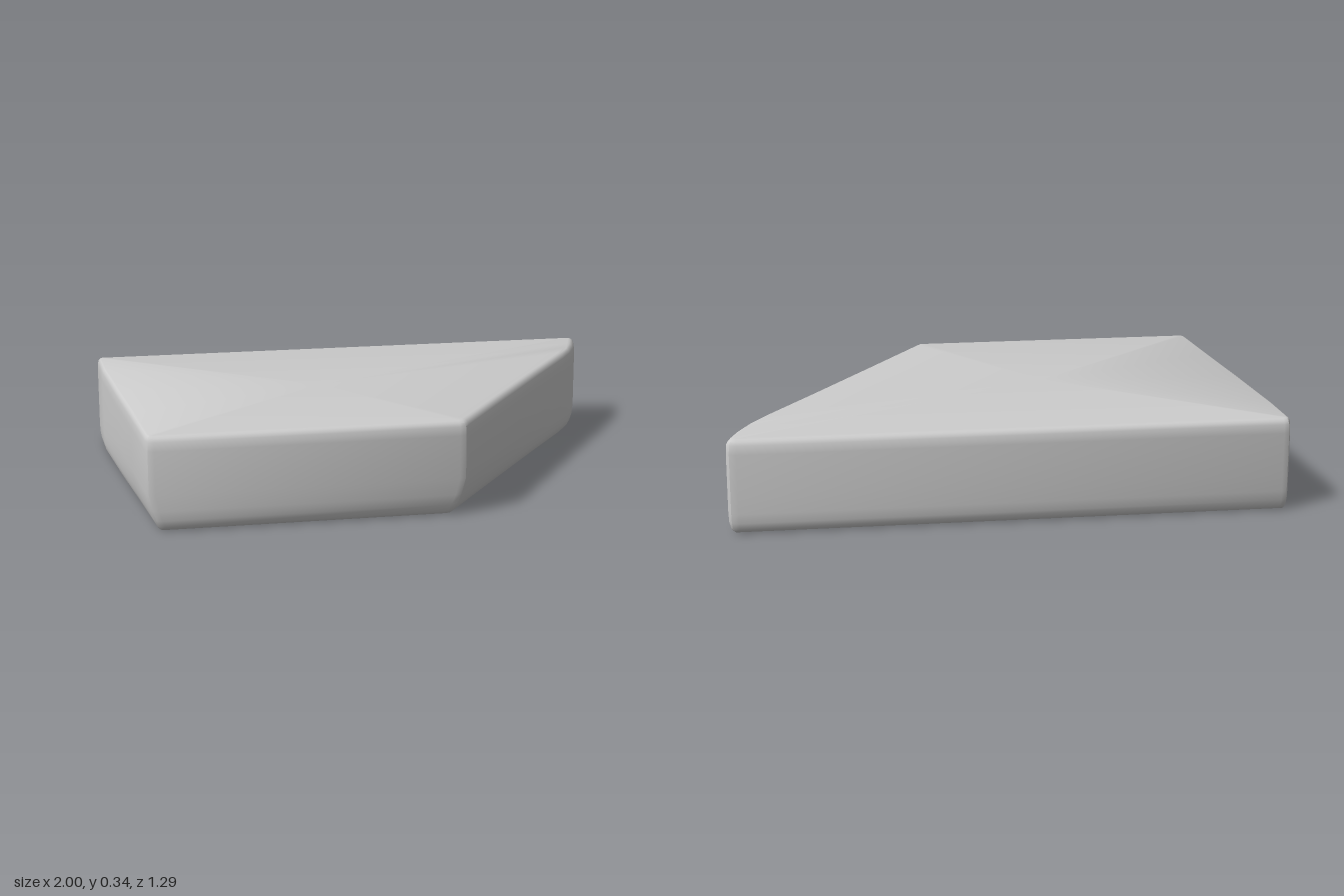
import * as THREE from 'three';
import { toCreasedNormals } from 'three/addons/utils/BufferGeometryUtils.js';

// Plan outline [x, z], counter-clockwise seen from above
const OUTLINE = [
  [-0.97, -0.65], [-0.99, -0.643], [-1, -0.62], [-0.993, -0.42], [-0.965, -0.05], [-0.935, 0.3],
  [-0.91, 0.61], [-0.902, 0.635], [-0.88, 0.645],
  [0.195, 0.645], [0.218, 0.638], [0.235, 0.615],
  [0.46, 0.275], [0.69, -0.07], [0.87, -0.335], [0.925, -0.425], [0.965, -0.51], [0.99, -0.58],
  [1, -0.62], [0.99, -0.643], [0.965, -0.65],
];

// Edge rounding from bottom to top: height, inset, share of the lower front taper
const LEVELS = [
  [0, 0.03, 1], [0.004, 0.02, 0.97], [0.014, 0.01, 0.9], [0.04, 0.002, 0.65],
  [0.075, 0, 0.35], [0.135, 0, 0], [0.29, 0, 0], [0.322, 0.003, 0],
  [0.334, 0.01, 0], [0.34, 0.02, 0], [0.342, 0.03, 0],
];

// Outward direction of the outline at point i
function outward(i) {
  const n = OUTLINE.length;
  const p = OUTLINE[(i + n - 1) % n], c = OUTLINE[i], q = OUTLINE[(i + 1) % n];
  const a = new THREE.Vector2(p[1] - c[1], c[0] - p[0]).normalize();
  const b = new THREE.Vector2(c[1] - q[1], q[0] - c[0]).normalize();
  return a.add(b).normalize().negate();
}

function slabGeometry() {
  const n = OUTLINE.length, positions = [], index = [];
  const normals = OUTLINE.map((_, i) => {
    const v = outward(i);
    // Make sure the direction points away from the middle
    const [x, z] = OUTLINE[i];
    return v.x * (x + 0.2) + v.y * z < 0 ? v.negate() : v;
  });
  for (const [y, inset, taper] of LEVELS) {
    OUTLINE.forEach(([x, z], i) => {
      const front = THREE.MathUtils.clamp((z + 0.4) / 1.04, 0, 1);
      const towardMiddle = x < -0.33 ? 0.035 : -0.045;
      const sideInset = normals[i].x < 0 ? 0.5 : 0.9;
      positions.push(
        x - normals[i].x * inset * sideInset + towardMiddle * front * taper,
        y,
        z - normals[i].y * inset,
      );
    });
  }
  // Walls between successive levels
  for (let l = 0; l < LEVELS.length - 1; l++) {
    for (let i = 0; i < n; i++) {
      const a = l * n + i, b = l * n + (i + 1) % n;
      index.push(a, b, b + n, a, b + n, a + n);
    }
  }
  // Flat bottom and top
  const top = (LEVELS.length - 1) * n, middle = positions.length / 3;
  positions.push(-0.2, 0, 0, -0.2, LEVELS[LEVELS.length - 1][0], 0);
  for (let i = 0; i < n; i++) {
    const j = (i + 1) % n;
    index.push(middle, j, i, middle + 1, top + i, top + j);
  }
  const geometry = new THREE.BufferGeometry();
  geometry.setAttribute('position', new THREE.Float32BufferAttribute(positions, 3));
  geometry.setIndex(index);
  return toCreasedNormals(geometry, 0.6);
}

export function createModel() {
  const group = new THREE.Group();
  group.name = 'taperedSlab';
  const slab = new THREE.Mesh(slabGeometry(), new THREE.MeshStandardMaterial({ color: 0xcccccc }));
  slab.name = 'slab';
  group.add(slab);
  return group;
}
